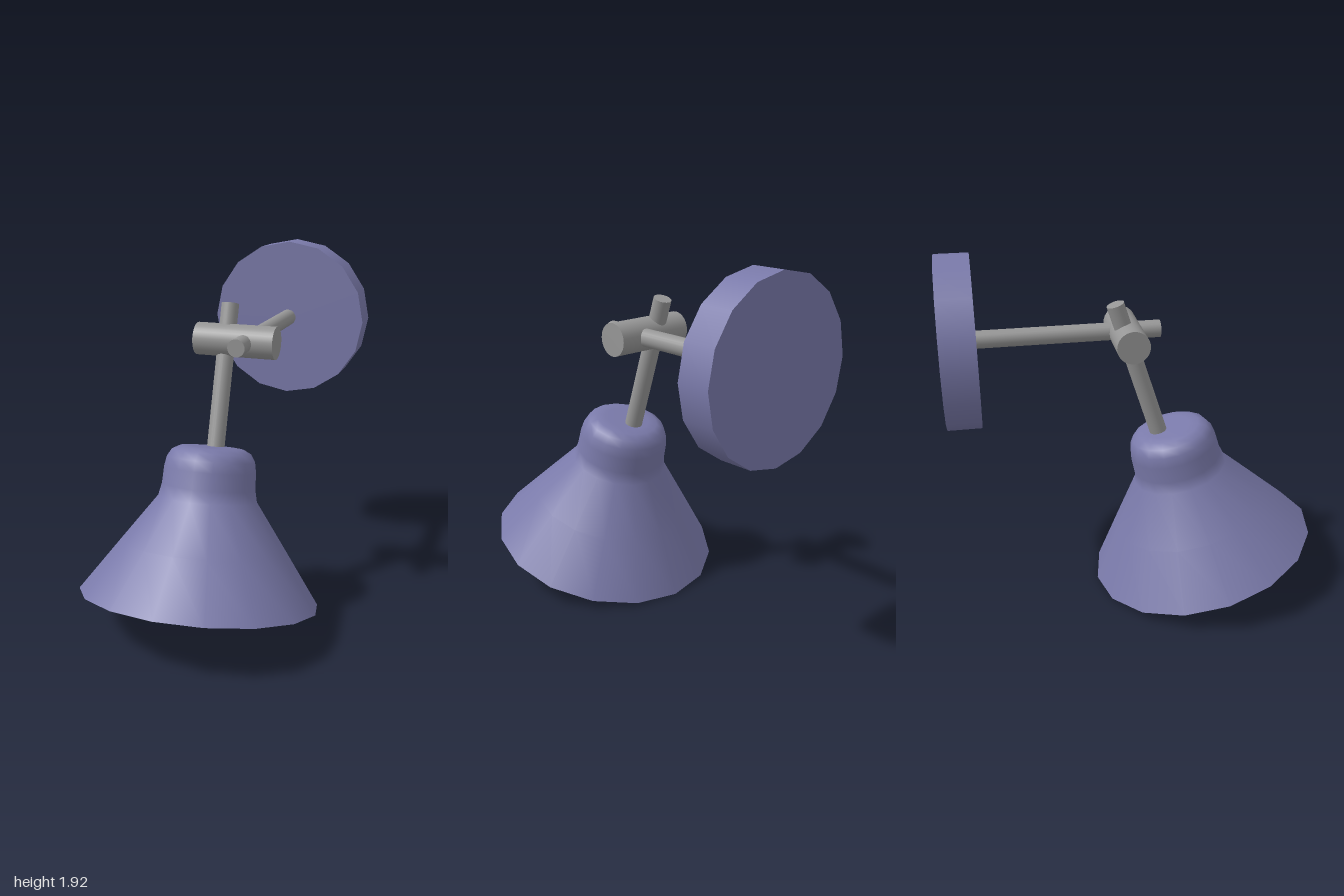
import * as THREE from 'three';

export function createModel() {
  const root = new THREE.Group();
  root.name = 'wallLamp';

  const paint = new THREE.MeshStandardMaterial({ color: 0x7a7aaa });
  paint.name = 'blue violet paint';
  const metal = new THREE.MeshStandardMaterial({ color: 0x969696 });
  metal.name = 'grey metal';
  const glass = new THREE.MeshStandardMaterial({ color: 0xd4d2ca });
  glass.name = 'pale bulb glass';

  // Cylinder running between two points
  const UP = new THREE.Vector3(0, 1, 0);
  function rod(name, from, to, radius, material, sides = 24) {
    const a = new THREE.Vector3(...from);
    const b = new THREE.Vector3(...to);
    const dir = b.clone().sub(a);
    const mesh = new THREE.Mesh(new THREE.CylinderGeometry(radius, radius, dir.length(), sides), material);
    mesh.name = name;
    mesh.position.copy(a).add(b).multiplyScalar(0.5);
    mesh.quaternion.setFromUnitVectors(UP, dir.normalize());
    root.add(mesh);
  }

  // Wall mount, arm and swivel joint
  rod('wallPlate', [0.12, 1.47, -0.82], [0.12, 1.47, -1], 0.455, paint, 16);
  rod('wallArm', [0.12, 1.475, -0.83], [0.12, 1.475, 0.155], 0.047, metal);
  rod('swivelBarrel', [-0.16, 1.475, -0.037], [0.28, 1.475, -0.037], 0.087, metal, 32);
  rod('shadeStem', [0, 0.85, 0.152], [0, 1.66, -0.105], 0.047, metal);

  // Tilted head: origin at the centre of the shade's mouth
  const head = new THREE.Group();
  head.name = 'lampHead';
  head.position.set(0, 0.172, 0.388);
  head.rotation.x = THREE.MathUtils.degToRad(-14.9);
  root.add(head);

  function turned(name, profile, sides, material) {
    const points = profile.map(([r, y]) => new THREE.Vector2(r, y));
    const mesh = new THREE.Mesh(new THREE.LatheGeometry(points, sides), material);
    mesh.name = name;
    head.add(mesh);
  }

  // Profiles run upward for outside faces and downward for inside faces
  turned('shadeOutside', [
    [0.634, 0], [0.44, 0.275], [0.262, 0.525], [0.248, 0.59], [0.244, 0.68],
    [0.234, 0.735], [0.21, 0.775], [0.17, 0.796], [0.12, 0.8], [0, 0.8],
  ], 16, paint);
  turned('shadeInside', [
    [0, 0.775], [0.16, 0.77], [0.215, 0.72], [0.228, 0.6], [0.243, 0.52], [0.612, 0],
  ], 16, paint);
  turned('shadeRim', [[0.612, 0], [0.634, 0]], 16, paint);

  // Flattened bulb with its neck reaching into the cap
  turned('bulb', [
    [0, 0.078], [0.08, 0.083], [0.13, 0.1], [0.163, 0.135], [0.176, 0.18],
    [0.168, 0.24], [0.135, 0.32], [0.095, 0.4], [0.08, 0.48], [0.08, 0.77],
  ], 24, glass);

  return root;
}
